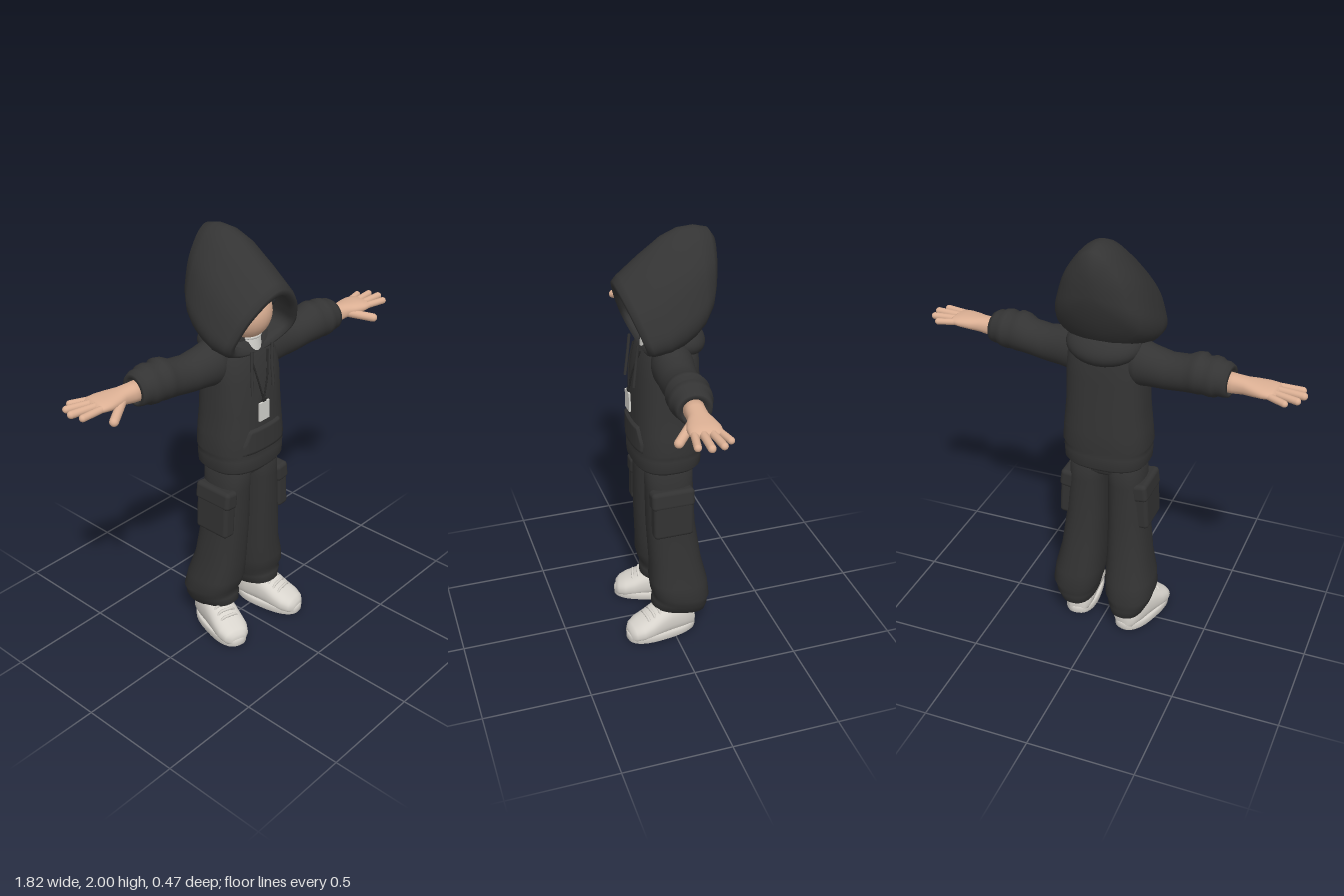
import * as THREE from 'three';
import { RoundedBoxGeometry } from 'three/addons/geometries/RoundedBoxGeometry.js';

const V = (x, y, z) => new THREE.Vector3(x, y, z);
const flat = (name, color, side = THREE.FrontSide) => {
  const m = new THREE.MeshStandardMaterial({ color, side });
  m.name = name;
  return m;
};

// Closed superellipse ring around centre c, spanned by the half axes u and v
function ring(c, u, v, power = 2, n = 36) {
  const bend = (a) => Math.sign(a) * Math.pow(Math.abs(a), 2 / power);
  return Array.from({ length: n }, (_, i) => {
    const t = (i / n) * Math.PI * 2;
    return c.clone().addScaledVector(u, bend(Math.cos(t))).addScaledVector(v, bend(Math.sin(t)));
  });
}
const ringY = (y, x0, x1, z0, z1, p) =>
  ring(V((x0 + x1) / 2, y, (z0 + z1) / 2), V((x1 - x0) / 2, 0, 0), V(0, 0, (z1 - z0) / 2), p);

// Skin over a row of rings, closed at both ends and wound outwards
function loft(rings) {
  const n = rings[0].length, pts = rings.flat(), idx = [];
  const mid = (r) => r.reduce((s, p) => s.add(p), V(0, 0, 0)).divideScalar(n);
  for (let i = 0; i < rings.length - 1; i++)
    for (let j = 0; j < n; j++) {
      const a = i * n + j, b = i * n + ((j + 1) % n);
      idx.push(a, b, a + n, b, b + n, a + n);
    }
  const last = (rings.length - 1) * n, c0 = pts.length;
  const all = [...pts, mid(rings[0]), mid(rings[rings.length - 1])];
  for (let j = 0; j < n; j++) {
    const k = (j + 1) % n;
    idx.push(c0, k, j, c0 + 1, last + j, last + k);
  }
  let volume = 0;
  for (let i = 0; i < idx.length; i += 3)
    volume += all[idx[i]].dot(all[idx[i + 1]].clone().cross(all[idx[i + 2]]));
  if (volume < 0) idx.reverse();
  const g = new THREE.BufferGeometry().setFromPoints(all);
  g.setIndex(idx);
  g.computeVertexNormals();
  return g;
}

export function createModel() {
  const root = new THREE.Group();
  const hoodie = flat('hoodie cloth', 0x343434, THREE.DoubleSide);
  const trousers = flat('trouser cloth', 0x323232);
  const hairMat = flat('hair', 0x2b2d30);
  const skin = flat('skin', 0xdcb094);
  const shoeMat = flat('shoe leather', 0xd8d4cd);
  const white = flat('white cloth and card', 0xd2d1cc);
  const cordMat = flat('cord', 0x262626);

  const add = (name, geo, mat, parent = root, pos = [0, 0, 0]) => {
    const m = new THREE.Mesh(geo, mat);
    m.name = name;
    m.position.set(...pos);
    parent.add(m);
    return m;
  };
  const blob = (name, mat, pos, size, parent = root) => {
    const m = add(name, new THREE.SphereGeometry(1, 28, 20), mat, parent, pos);
    m.scale.set(...size);
    return m;
  };
  const tube = (name, pts, r, mat, parent = root) =>
    add(name, new THREE.TubeGeometry(new THREE.CatmullRomCurve3(pts.map((p) => V(...p))), 16, r, 8), mat, parent);

  // Hoodie body with ribbed hem: y, half width, front z, back z
  add('hoodieBody', loft([
    [0.925, 0.17, 0.12, -0.13], [0.905, 0.188, 0.145, -0.15], [0.92, 0.2, 0.155, -0.162],
    [0.975, 0.203, 0.156, -0.164], [0.99, 0.198, 0.148, -0.158], [1.01, 0.208, 0.155, -0.165],
    [1.1, 0.2, 0.15, -0.164], [1.2, 0.19, 0.145, -0.157], [1.35, 0.186, 0.135, -0.152],
    [1.45, 0.18, 0.115, -0.147], [1.52, 0.15, 0.082, -0.13], [1.55, 0.09, 0.04, -0.1],
  ].map(([y, w, f, b]) => ringY(y, -w, w, b, f, 2.6))), hoodie);

  // Front pouch, a plate bent around the belly
  const pouch = new THREE.PlaneGeometry(2, 1, 24, 12), pp = pouch.attributes.position;
  for (let i = 0; i < pp.count; i++) {
    const u = pp.getX(i), t = pp.getY(i) + 0.5;
    const x = u * (t < 0.4 ? 0.14 : 0.14 - (t - 0.4) * 0.07);
    const edge = Math.abs(u) > 0.95 || t < 0.05 || t > 0.95;
    const z = -0.006 + 0.158 * Math.pow(1 - Math.pow(Math.abs(x) / 0.205, 2.6), 1 / 2.6);
    pp.setXYZ(i, x, 0.995 + t * 0.135, z + (edge ? -0.012 : 0.008));
  }
  pouch.computeVertexNormals();
  add('frontPouch', pouch, hoodie);

  // Gathered hood base lying over the shoulders and back
  blob('hoodBase', hoodie, [0, 1.515, -0.055], [0.175, 0.085, 0.135]).rotation.x = -0.3;

  // Hood: teardrop loops from the inside, over the rim, to the back
  const half = [[0.3, 0.88], [0.56, 0.62], [0.78, 0.3], [0.93, -0.1], [1, -0.42], [0.93, -0.65], [0.65, -0.85], [0.28, -0.97]];
  const outline = new THREE.CatmullRomCurve3([
    V(0, 1, 0), ...half.map(([x, v]) => V(x, v, 0)), V(0, -1, 0), ...half.map(([x, v]) => V(-x, v, 0)).reverse(),
  ], true).getPoints(64).slice(0, 64);
  // top y, top z, bottom y, bottom z, half width
  add('hood', loft([
    [1.7, -0.08, 1.6, -0.08, 0.05], [1.8, 0.02, 1.5, -0.02, 0.17], [1.765, 0.17, 1.5, 0.06, 0.172],
    [1.755, 0.2, 1.49, 0.09, 0.172], [1.762, 0.216, 1.475, 0.105, 0.19], [1.785, 0.218, 1.465, 0.1, 0.212],
    [1.81, 0.195, 1.46, 0.08, 0.228], [1.89, 0.1, 1.46, 0.01, 0.234], [1.965, 0, 1.48, -0.05, 0.228],
    [1.995, -0.07, 1.51, -0.1, 0.215], [2.0, -0.14, 1.55, -0.14, 0.195], [1.985, -0.2, 1.61, -0.175, 0.16],
    [1.945, -0.228, 1.67, -0.2, 0.11], [1.87, -0.234, 1.74, -0.222, 0.05],
  ].map(([ty, tz, by, bz, w]) => outline.map((p) => {
    const t = (p.y + 1) / 2;
    return V(p.x * w, by + (ty - by) * t, bz + (tz - bz) * t);
  }))), hoodie);

  // Head, ears, neck and shirt collar
  blob('head', skin, [0, 1.645, 0.03], [0.115, 0.125, 0.115]);
  add('neck', new THREE.CylinderGeometry(0.045, 0.05, 0.12, 24), skin, root, [0, 1.52, 0.02]);
  add('shirtCollar', new THREE.CylinderGeometry(0.055, 0.07, 0.12, 32), white, root, [0, 1.48, 0.04]);
  const rim = add('shirtCollarRim', new THREE.TorusGeometry(0.053, 0.008, 8, 32), white, root, [0, 1.538, 0.04]);
  rim.rotation.x = Math.PI / 2;
  for (const s of [1, -1]) blob('ear', skin, [s * 0.115, 1.645, 0.03], [0.018, 0.03, 0.022]);

  // Hair cap and swept fringe
  const cap = add('hairCap', new THREE.SphereGeometry(1, 28, 16, 0, Math.PI * 2, 0, Math.PI * 0.45), hairMat, root, [0, 1.655, 0.02]);
  cap.scale.set(0.125, 0.125, 0.125);
  cap.rotation.x = -0.3;
  for (const [x, y, z, tilt, len] of [
    [-0.105, 1.69, 0.08, -0.15, 0.045], [-0.075, 1.725, 0.112, -0.6, 0.042], [-0.03, 1.742, 0.13, -0.9, 0.045],
    [0.025, 1.745, 0.13, 0.9, 0.045], [0.072, 1.728, 0.112, 0.6, 0.042], [0.105, 1.69, 0.08, 0.15, 0.045],
  ]) blob('fringeLock', hairMat, [x, y, z], [0.022, len, 0.02]).rotation.z = tilt;

  // Drawstrings, lanyard and card
  tube('drawstring', [[-0.075, 1.5, 0.13], [-0.08, 1.43, 0.135], [-0.088, 1.3, 0.148]], 0.007, hoodie);
  tube('drawstring', [[0.06, 1.5, 0.13], [0.052, 1.43, 0.135], [0.05, 1.3, 0.148]], 0.007, hoodie);
  for (const x of [-0.065, 0.045]) tube('lanyard', [[x, 1.47, 0.115], [x * 0.6 - 0.01, 1.37, 0.141], [-0.018, 1.255, 0.152]], 0.004, cordMat);
  add('cardClip', new THREE.BoxGeometry(0.022, 0.02, 0.009), cordMat, root, [-0.018, 1.255, 0.154]);
  add('card', new THREE.BoxGeometry(0.064, 0.09, 0.009), white, root, [-0.02, 1.205, 0.156]);

  // Arms, turned slightly about the spine
  const arms = new THREE.Group();
  arms.name = 'arms';
  arms.rotation.y = -0.105;
  arms.position.z = -0.013;
  root.add(arms);
  const limb = (s, rows, p) => loft(rows.map(([x, y, ry, rz]) => ring(V(s * x, y, 0), V(0, ry, 0), V(0, 0, rz), p)));
  for (const s of [1, -1]) {
    add('sleeve', limb(s, [
      [0.1, 1.44, 0.1, 0.09], [0.17, 1.432, 0.105, 0.093], [0.22, 1.428, 0.094, 0.088], [0.3, 1.423, 0.084, 0.084],
      [0.38, 1.432, 0.083, 0.083], [0.42, 1.445, 0.092, 0.09], [0.45, 1.448, 0.093, 0.096], [0.47, 1.442, 0.084, 0.086],
      [0.5, 1.446, 0.09, 0.094], [0.525, 1.446, 0.087, 0.09], [0.54, 1.445, 0.078, 0.08], [0.56, 1.445, 0.078, 0.08],
      [0.582, 1.44, 0.07, 0.072], [0.584, 1.437, 0.055, 0.055], [0.56, 1.435, 0.045, 0.045],
    ]), hoodie, arms);
    add('handPalm', limb(s, [
      [0.54, 1.435, 0.045, 0.045], [0.6, 1.435, 0.042, 0.043], [0.65, 1.438, 0.036, 0.046], [0.69, 1.44, 0.032, 0.06],
      [0.74, 1.442, 0.027, 0.07], [0.78, 1.443, 0.022, 0.068], [0.795, 1.443, 0.012, 0.06],
    ], 2.3), skin, arms);
    // start x, z, end x, y, z, radius
    for (const [name, x0, y0, z0, x1, y1, z1, r] of [
      ['littleFinger', 0.76, 1.442, -0.05, 0.845, 1.44, -0.08, 0.015], ['ringFinger', 0.77, 1.444, -0.02, 0.887, 1.444, -0.043, 0.016],
      ['middleFinger', 0.77, 1.444, 0.015, 0.898, 1.445, 0.008, 0.017], ['indexFinger', 0.77, 1.443, 0.048, 0.877, 1.442, 0.058, 0.016],
      ['thumb', 0.67, 1.43, 0.035, 0.762, 1.402, 0.105, 0.02],
    ]) {
      const a = V(s * x0, y0, z0), b = V(s * x1, y1, z1), d = b.clone().sub(a);
      const m = add(name, new THREE.CapsuleGeometry(r, d.length(), 6, 14), skin, arms);
      m.position.copy(a).addScaledVector(d, 0.5);
      m.quaternion.setFromUnitVectors(V(0, 1, 0), d.normalize());
    }
  }

  // Trousers: y, inner x, outer x, front z, back z; the hem drops to the back
  add('trouserSeat', loft([[0.84, 0.1, 0.07, -0.08], [0.865, 0.165, 0.105, -0.105], [0.95, 0.178, 0.113, -0.113]]
    .map(([y, w, f, b]) => ringY(y, -w, w, b, f, 2.5))), trousers);
  for (const s of [1, -1]) {
    const leg = new THREE.Group();
    leg.name = s > 0 ? 'leftLeg' : 'rightLeg';
    root.add(leg);
    add('trouserLeg', loft([
      [0.94, 0.0, 0.175, 0.113, -0.11], [0.8, 0.008, 0.183, 0.112, -0.112], [0.6, 0.01, 0.198, 0.11, -0.12],
      [0.4, 0.012, 0.222, 0.1, -0.148], [0.29, 0.012, 0.248, 0.1, -0.18], [0.22, 0.02, 0.258, 0.09, -0.192],
      [0.185, 0.036, 0.243, 0.072, -0.182], [0.172, 0.034, 0.243, 0.083, -0.186], [0.13, 0.045, 0.222, 0.085, -0.178],
      [0.12, 0.06, 0.205, 0.07, -0.165], [0.15, 0.07, 0.19, 0.05, -0.15],
    ].map(([y, i, o, f, b]) => {
      const r = ringY(y, s * i, s * o, b, f, 2.4), low = THREE.MathUtils.clamp((0.35 - y) / 0.15, 0, 1);
      r.forEach((p) => { p.y += 0.2 * (p.z + 0.06) * low; p.z += s * 0.01 * low; });
      return r;
    })), trousers, leg);
    // Cargo pocket with flap
    add('cargoPocket', new RoundedBoxGeometry(0.07, 0.19, 0.19, 4, 0.02), trousers, leg, [s * 0.185, 0.675, 0.01]).rotation.z = s * 0.05;
    add('cargoFlap', new RoundedBoxGeometry(0.075, 0.09, 0.205, 4, 0.02), trousers, leg, [s * 0.178, 0.775, 0.01]).rotation.z = s * 0.12;

    // Shoe, toe turned outwards
    const shoe = new THREE.Group();
    shoe.name = 'shoe';
    shoe.position.set(s > 0 ? 0.152 : -0.168, 0, s > 0 ? 0.057 : 0.02);
    shoe.rotation.y = s > 0 ? 0.14 : -0.29;
    leg.add(shoe);
    add('sole', loft([[0, 0.074, 0.168], [0.006, 0.083, 0.176], [0.034, 0.084, 0.177], [0.04, 0.078, 0.17]]
      .map(([y, w, l]) => ringY(y, -w, w, -l, l, 2.5))), shoeMat, shoe);
    add('shoeUpper', loft([
      [-0.17, 0.035, 0.09], [-0.155, 0.06, 0.13], [-0.1, 0.074, 0.17], [-0.03, 0.077, 0.175], [0.02, 0.078, 0.15],
      [0.07, 0.08, 0.118], [0.115, 0.078, 0.097], [0.15, 0.063, 0.078], [0.168, 0.038, 0.06],
    ].map(([z, w, h]) => ring(V(0, h / 2 + 0.005, z), V(w, 0, 0), V(0, h / 2, 0), 2.4))), shoeMat, shoe);
    for (const [z, y] of [[0.02, 0.152], [0.048, 0.135], [0.076, 0.118]])
      tube('lace', [[-0.055, y - 0.028, z], [-0.03, y + 0.002, z + 0.004], [0, y + 0.006, z + 0.006], [0.03, y + 0.002, z + 0.004], [0.055, y - 0.028, z]], 0.007, shoeMat, shoe);
  }
  return root;
}
